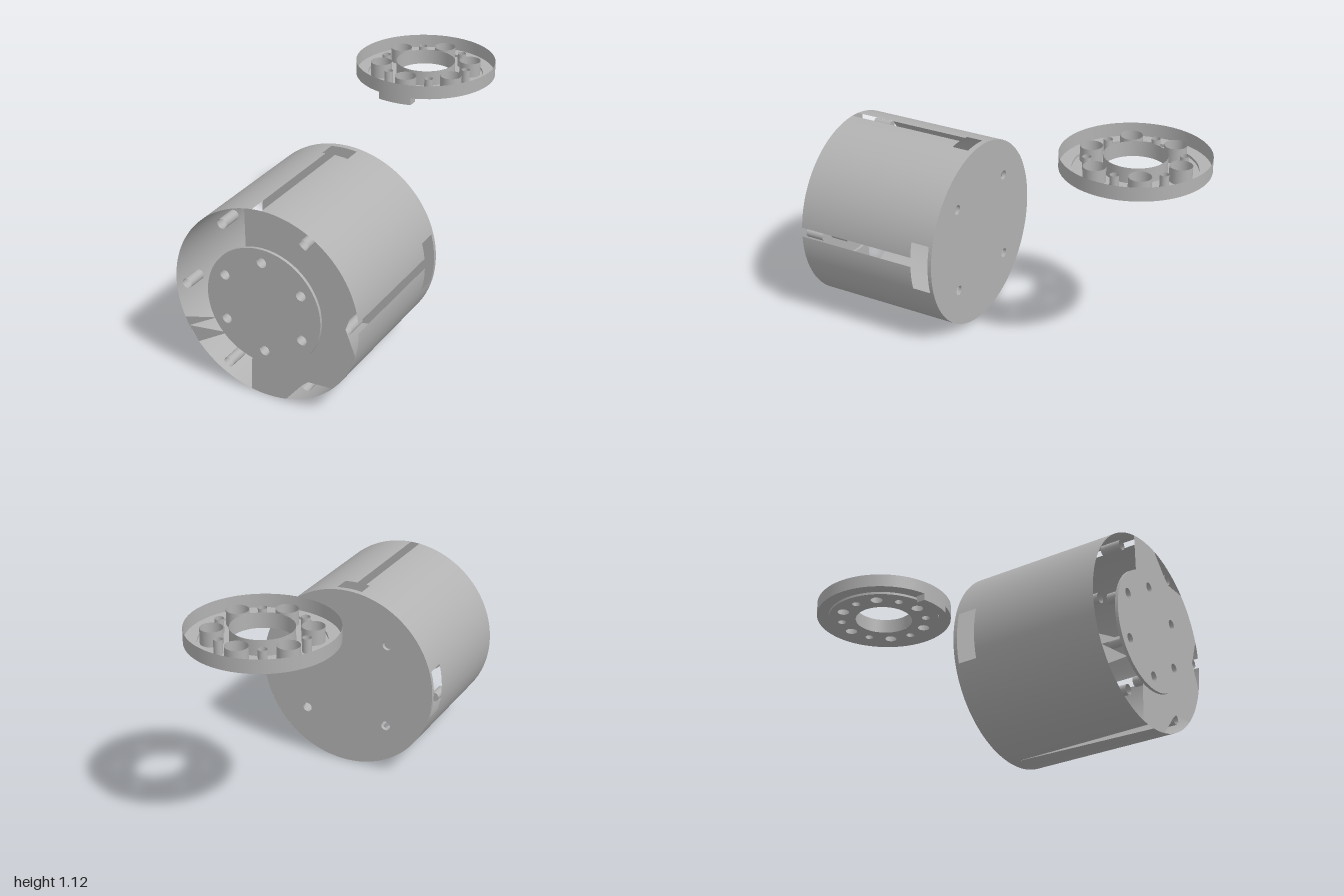
import * as THREE from 'three';

const PI = Math.PI, TAU = PI * 2, H = PI / 2;
const grey = new THREE.MeshStandardMaterial({ color: 0xb2b2b2, side: THREE.DoubleSide });
grey.name = 'plain grey';

function add(parent, name, geo, x = 0, y = 0, z = 0) {
  const m = new THREE.Mesh(geo, grey);
  m.name = name;
  m.position.set(x, y, z);
  parent.add(m);
  return m;
}

// points evenly spaced on a circle
const ring = (n, r, start) => Array.from({ length: n }, (_, i) =>
  [r * Math.cos(start + i * TAU / n), r * Math.sin(start + i * TAU / n)]);

function punch(shape, centres, r) {
  for (const [x, y] of centres) shape.holes.push(new THREE.Path().absarc(x, y, r, 0, TAU, true));
  return shape;
}
const disc = r => new THREE.Shape().absarc(0, 0, r, 0, TAU, false);
const flat = shape => new THREE.ShapeGeometry(shape, 48);
const polygon = pts => new THREE.Shape(pts.map(p => new THREE.Vector2(...p)));
const tube = (r, len, seg = 24) => new THREE.CylinderGeometry(r, r, len, seg, 1, true);
const tubeZ = (r, len, seg) => tube(r, len, seg).rotateX(H);

const R = 0.487, BACK = 0.21, FRONT = 0.985;

// curved panel of the drum: angles a0..a1 at z0 blending to b0..b1 at z1
function panel(a0, a1, z0, z1, b0 = a0, b1 = a1) {
  const g = new THREE.PlaneGeometry(1, 1, Math.max(1, Math.ceil((a1 - a0) / 0.05)), 1);
  const p = g.attributes.position, n = g.attributes.normal;
  for (let i = 0; i < p.count; i++) {
    const u = p.getX(i) + 0.5, v = p.getY(i) + 0.5;
    const a = THREE.MathUtils.lerp(a0 + (a1 - a0) * u, b0 + (b1 - b0) * u, v);
    p.setXYZ(i, R * Math.cos(a), R * Math.sin(a), z0 + (z1 - z0) * v);
    n.setXYZ(i, Math.cos(a), Math.sin(a), 0);
  }
  return g;
}

function makeDrum() {
  const drum = new THREE.Group();
  drum.name = 'drum';
  drum.position.y = 0.49;

  // thin outer wall, leaving side windows, slots and a tapered slit below
  const W = 0.27, S = 0.103, T = 0.144, B = 3 * H;
  const panels = [
    [S, W, 0.33, FRONT],
    [W, H - T, BACK, FRONT],
    [H - T, H + T, BACK, 0.24],
    [H - T, H, 0.33, FRONT],
    [H + S, H + T, 0.33, FRONT],
    [H + T, PI - W, BACK, FRONT],
    [PI - W, PI + W, 0.33, FRONT],
    [PI + W, B - 0.062, BACK, 0.25],
    [PI + W, B - 0.062, 0.25, FRONT, PI + W, B - S],
    [B - 0.062, TAU - W, BACK, 0.25],
    [B - 0.062, TAU - W, 0.25, FRONT, B, TAU - W],
    [TAU - W, TAU, 0.33, FRONT],
  ];
  for (const p of panels) add(drum, 'drumWall', panel(...p));

  // back plate with four through holes
  const back = punch(disc(R), ring(4, 0.325, PI / 4), 0.025);
  add(drum, 'backPlate', new THREE.ExtrudeGeometry(back, { depth: 0.02, bevelEnabled: false, curveSegments: 48 }), 0, 0, BACK);

  // partial front face with bites around the right-hand pins
  const f = new THREE.Shape();
  f.absarc(0, 0, R, 1.757, 1.364, true);
  f.lineTo(0.19, 0.37);
  f.lineTo(0.22, 0.345);
  f.absarc(0, 0, R, 0.771, 0.273, true);
  f.lineTo(0.42, 0);
  f.absarc(0, 0, R, -0.273, -0.771, true);
  f.lineTo(0.22, -0.345);
  f.lineTo(0.19, -0.37);
  f.absarc(0, 0, R, -1.364, -1.757, true);
  f.absarc(0, 0, 0.3, -1.841, 1.876, false);
  add(drum, 'frontFace', flat(f), 0, 0, FRONT);

  // small webs left on the open side
  add(drum, 'frontWeb', flat(polygon([[-0.27, -0.14], [-0.45, -0.187], [-0.43, -0.23]])), 0, 0, FRONT);
  add(drum, 'frontWeb', flat(polygon([[-0.43, -0.23], [-0.38, -0.305], [-0.21, -0.205]])), 0, 0, FRONT);

  // raised centre boss and its blind holes
  const inner = ring(6, 0.232, H);
  add(drum, 'bossFace', flat(punch(disc(0.3), inner, 0.025)), 0, 0, 1);
  add(drum, 'bossRim', tubeZ(0.3, 0.015, 96), 0, 0, 0.9925);
  for (const [x, y] of inner) {
    add(drum, 'bossHole', tubeZ(0.025, 0.1), x, y, 0.95);
    add(drum, 'bossHoleEnd', new THREE.CircleGeometry(0.025, 24), x, y, 0.9);
  }

  // outer pins
  for (const [x, y] of ring(6, 0.427, 0)) {
    add(drum, 'pin', tubeZ(0.025, 0.1), x, y, 0.935);
    add(drum, 'pinEnd', new THREE.CircleGeometry(0.025, 24), x, y, 0.885);
  }
  return drum;
}

function makeLid() {
  const lid = new THREE.Group();
  lid.name = 'lid';
  lid.position.z = -0.637;
  const LOW = 1.042, STEP = 1.055, TOP = 1.125, r = 0.363;
  const lay = shape => flat(shape).rotateX(-H);

  // rim, stepped floor and central collar
  add(lid, 'lidRim', tube(r, TOP - STEP, 96), 0, (TOP + STEP) / 2);
  add(lid, 'lidLedge', lay(punch(disc(r), [[0, 0]], 0.3)), 0, STEP);
  add(lid, 'lidStep', tube(0.3, STEP - LOW, 96), 0, (STEP + LOW) / 2);
  const bosses = ring(6, 0.232, H), posts = ring(6, 0.23, 0);
  const floor = punch(disc(0.3), [[0, 0]], 0.153);
  punch(floor, bosses, 0.031);
  punch(floor, posts, 0.022);
  add(lid, 'lidFloor', lay(floor), 0, LOW);
  add(lid, 'lidCollar', tube(0.153, 0.078, 64), 0, LOW + 0.039);

  // screw bosses and small posts around the collar
  for (const [x, z] of bosses) add(lid, 'screwBoss', tube(0.055, 0.075, 32), x, LOW + 0.0375, z);
  for (const [x, z] of posts) add(lid, 'lidPost', tube(0.022, 0.07), x, LOW + 0.035, z);

  // hanging tab at the front edge
  const tab = new THREE.Shape();
  tab.absarc(0, 0, r, H - 0.25, H + 0.25, false);
  tab.absarc(0, 0, 0.315, H + 0.29, H - 0.29, true);
  const g = new THREE.ExtrudeGeometry(tab, { depth: STEP - 1.018, bevelEnabled: false, curveSegments: 16 });
  add(lid, 'lidTab', g.rotateX(H), 0, STEP);
  return lid;
}

export function createModel() {
  const model = new THREE.Group();
  model.name = 'drumAndLid';
  model.add(makeDrum(), makeLid());
  return model;
}
